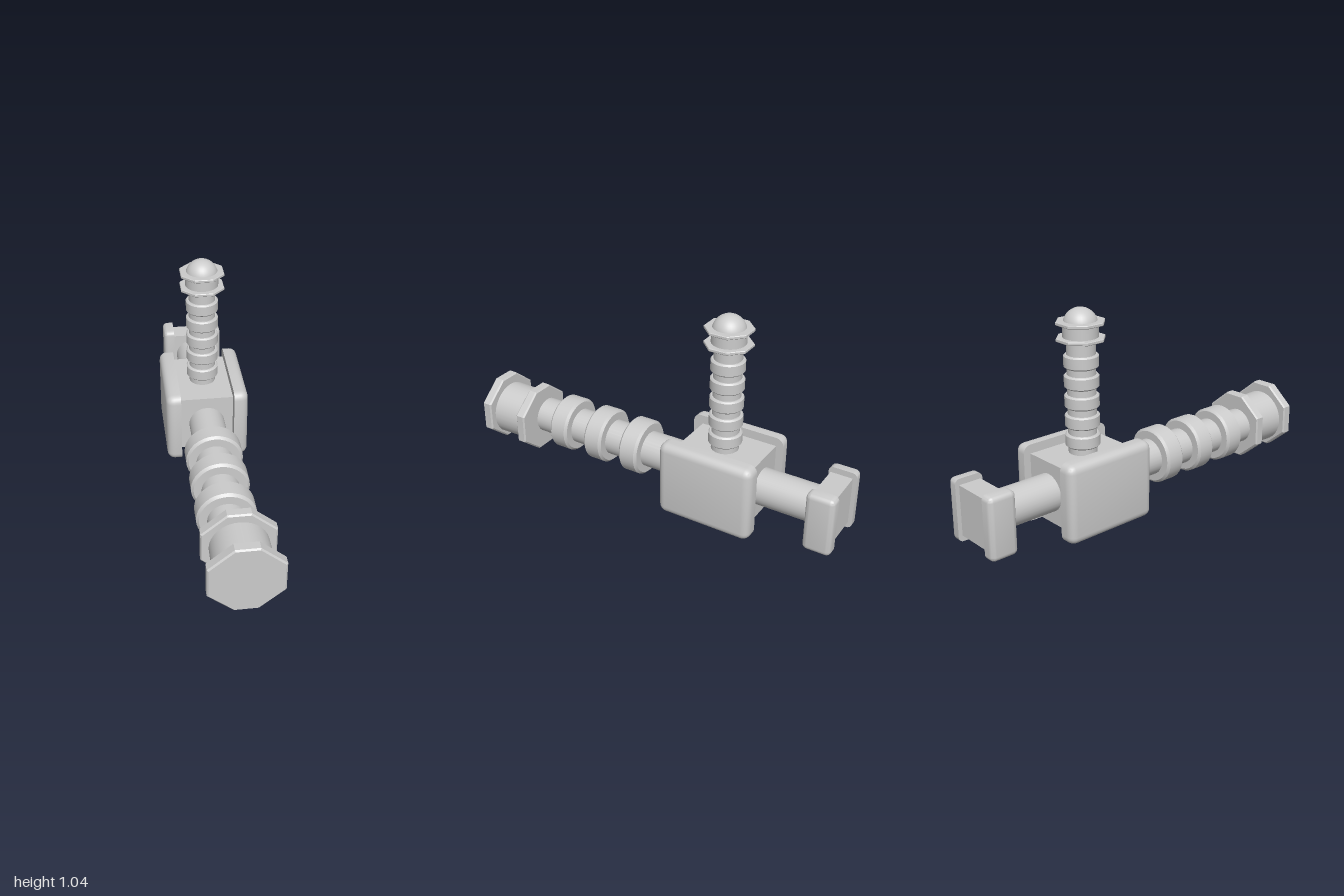
import * as THREE from 'three';
import { toCreasedNormals } from 'three/addons/utils/BufferGeometryUtils.js';
import { RoundedBoxGeometry } from 'three/addons/geometries/RoundedBoxGeometry.js';

const grey = new THREE.MeshStandardMaterial({ color: 0xcccccc });

function add(parent, name, geometry, x, y, z) {
  const mesh = new THREE.Mesh(geometry, grey);
  mesh.name = name;
  mesh.position.set(x, y, z);
  parent.add(mesh);
  return mesh;
}

// Closed collar around y, centred on its own middle, with chamfered rims
function collar(radius, height, chamfer) {
  const h = height / 2;
  const profile = [[0, -h], [radius - chamfer, -h], [radius, -h + chamfer],
    [radius, h - chamfer], [radius - chamfer, h], [0, h]];
  return toCreasedNormals(new THREE.LatheGeometry(profile.map(p => new THREE.Vector2(...p)), 32), 0.6);
}

// Eight-sided slab along z from 0 to depth; flatX and flatY are half the straight sides
function octagon(w, h, flatX, flatY, depth, bevel) {
  const b = bevel;
  const shape = new THREE.Shape([[w, -flatY], [w, flatY], [flatX, h], [-flatX, h],
    [-w, flatY], [-w, -flatY], [-flatX, -h], [flatX, -h]].map(p => new THREE.Vector2(...p)));
  return new THREE.ExtrudeGeometry(shape, {
    depth: depth - 2 * b, bevelThickness: b, bevelSize: b, bevelOffset: -b, bevelSegments: 1,
  }).translate(0, 0, b);
}

// Plate with a square inner face at x = 0 and rounded outer edges toward side * x
function plate(thickness, height, depth, radius, side) {
  const g = new RoundedBoxGeometry(2 * thickness, height, depth, 3, radius);
  const p = g.attributes.position;
  for (let i = 0; i < p.count; i++) {
    p.setX(i, side > 0 ? Math.max(p.getX(i), 0) : Math.min(p.getX(i), 0));
  }
  return toCreasedNormals(g, 0.7);
}

export function createModel() {
  const model = new THREE.Group();
  model.name = 'hammer';

  // Main shaft along z
  const shaft = new THREE.Group();
  shaft.name = 'shaft';
  model.add(shaft);
  add(shaft, 'rod', new THREE.CylinderGeometry(0.092, 0.092, 1.7, 32), 0, 0.195, -0.1).rotation.x = Math.PI / 2;
  for (const z of [0.113, 0.33, 0.547]) {
    add(shaft, 'shaftRing', collar(0.142, 0.106, 0.012), 0, 0.198, z).rotation.x = Math.PI / 2;
  }

  // Front head: barrel between two eight-sided flanges
  const head = new THREE.Group();
  head.name = 'frontHead';
  model.add(head);
  add(head, 'barrel', new THREE.CylinderGeometry(0.14, 0.136, 0.22, 32), 0.03, 0.19, 0.85).rotation.x = Math.PI / 2;
  add(head, 'rearFlange', octagon(0.172, 0.173, 0.055, 0.075, 0.052, 0.007), 0.03, 0.193, 0.72);
  add(head, 'frontCap', octagon(0.172, 0.174, 0.055, 0.075, 0.053, 0.007), 0.03, 0.203, 0.947);

  // Central block with side plates
  const block = new THREE.Group();
  block.name = 'centreBlock';
  model.add(block);
  add(block, 'core', new THREE.BoxGeometry(0.28, 0.3, 0.406), 0, 0.195, -0.37);
  for (const side of [-1, 1]) {
    add(block, 'sidePlate', plate(0.075, 0.39, 0.495, 0.04, side), side * 0.137, 0.195, -0.363);
  }

  // Rear end piece
  const tail = new THREE.Group();
  tail.name = 'rearEnd';
  model.add(tail);
  add(tail, 'tailCore', new THREE.BoxGeometry(0.22, 0.245, 0.11), 0, 0.197, -0.925);
  for (const side of [-1, 1]) {
    add(tail, 'tailPlate', plate(0.057, 0.305, 0.14, 0.025, side), side * 0.105, 0.197, -0.93);
  }

  // Upright handle with grip rings
  const handle = new THREE.Group();
  handle.name = 'handle';
  handle.position.z = -0.367;
  model.add(handle);
  add(handle, 'grip', new THREE.CylinderGeometry(0.068, 0.068, 0.57, 32), 0, 0.615, 0);
  for (let i = 0; i < 5; i++) {
    add(handle, 'gripRing', collar(0.082, 0.063, 0.007), 0, 0.408 + i * 0.0955, 0);
  }

  // Domed pommel between two thin flanges
  add(handle, 'pommel', new THREE.CylinderGeometry(0.083, 0.083, 0.08, 32), 0, 0.93, 0);
  for (const y of [0.886, 0.962]) {
    add(handle, 'pommelFlange', octagon(0.108, 0.108, 0.045, 0.045, 0.016, 0.003), 0, y, 0).rotation.x = -Math.PI / 2;
  }
  const dome = new THREE.SphereGeometry(0.081, 32, 12, 0, Math.PI * 2, 0, Math.PI / 2);
  add(handle, 'dome', dome, 0, 0.957, 0);

  return model;
}
